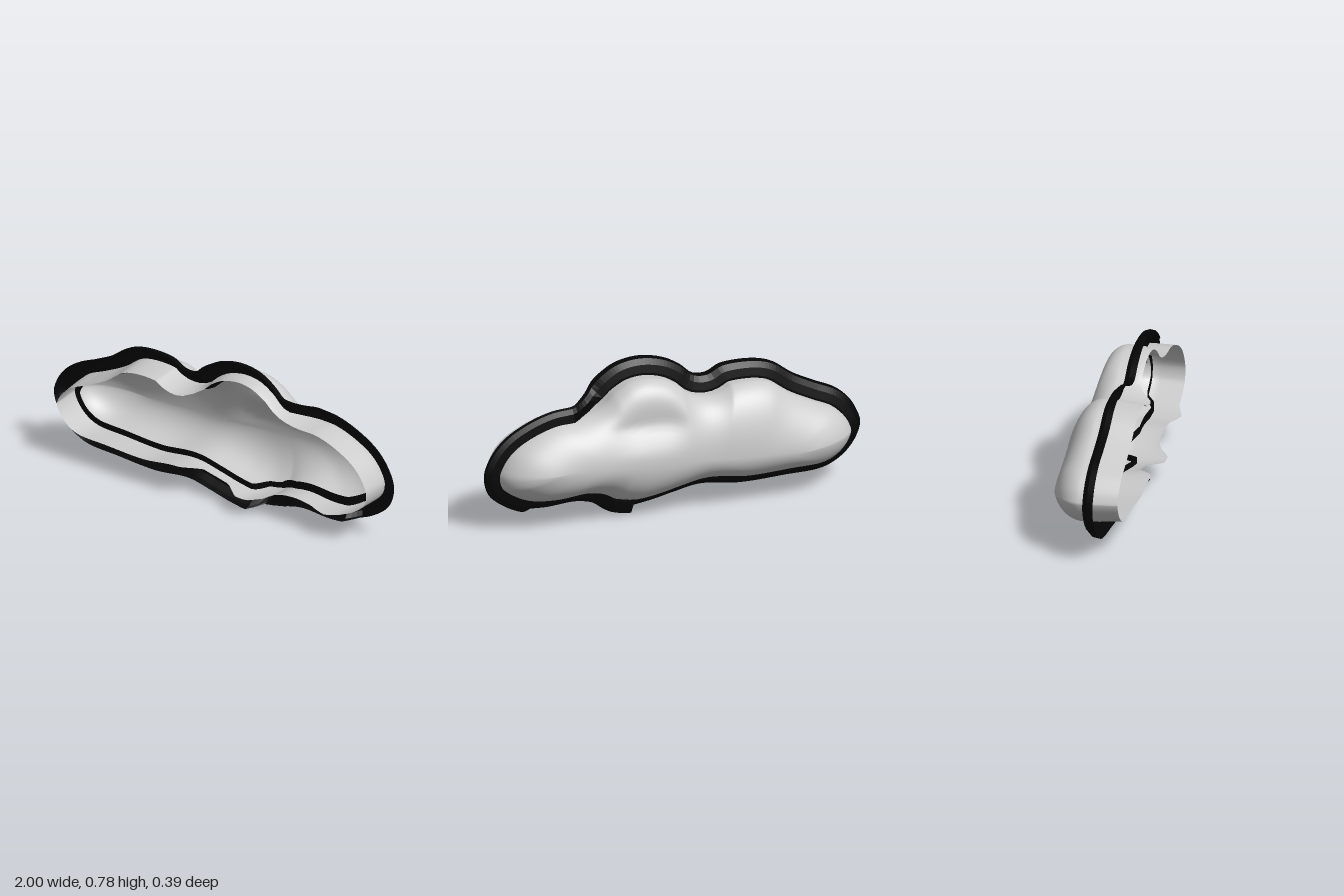
import * as THREE from 'three';

const N = 220;

// Outer outline of the flange, clockwise seen from the front
const outline = [
  [-1, .3], [-.98, .37], [-.94, .43], [-.87, .49], [-.76, .54], [-.65, .595], [-.55, .665], [-.48, .69],
  [-.38, .7], [-.27, .69], [-.2, .655], [-.13, .66], [-.07, .71], [.02, .76], [.15, .785], [.27, .765],
  [.36, .71], [.43, .645], [.52, .615], [.65, .6], [.77, .56], [.89, .49], [.96, .41], [1, .31],
  [.98, .21], [.92, .15], [.8, .09], [.67, .075], [.5, .085], [.41, .065], [.35, .03], [.23, .005],
  [.1, .02], [-.03, .05], [-.16, .075], [-.37, .055], [-.6, .065], [-.8, .08], [-.9, .13], [-.97, .21],
].map(([x, y]) => new THREE.Vector3(x, y, 0));

// Flange height along x for its upper and lower runs: [x, z]
const upperRun = [[-1, .09], [.4, .115], [.53, -.015], [1, -.015]];
const lowerRun = [[-1, .09], [.19, .112], [.23, 0], [.33, 0], [.42, .06], [.74, .06], [.8, -.015], [1, -.015]];

const ramp = (x, a, b) => THREE.MathUtils.clamp((x - a) / (b - a), 0, 1);
const bump = (x, c, w) => Math.max(0, 1 - Math.abs(x - c) / w);
const bell = (v) => Math.exp(-v * v);

function flangeZ(x, top) {
  const run = top ? upperRun : lowerRun;
  return run.slice(1).reduce((z, [xb, zb], i) => z + (zb - run[i][1]) * ramp(x, run[i][0], xb), run[0][1]);
}

// Front edge of the wall, stepped and scalloped along the bottom
function lipZ(x, top) {
  const z = THREE.MathUtils.lerp(.195, .118, ramp(x, -.15, -.06));
  return top ? z : z + .065 * Math.min(1, 1.5 * bump(x, .22, .13)) + .035 * bump(x, .7, .1);
}

// Depth of the trough behind the flange; s is 1 at the wall and 0 on the spine
function depth(x, y, s) {
  const d = .185 + .02 * x - .015 * bell((x + .1) / .15);
  const base = d * Math.sqrt(1 - s * s);
  if (y < .33) return base;
  // shallow dome of the upper lobe, blended into the main trough
  const trough = d * Math.sqrt(Math.max(0, 1 - ((y - .3) / .21) ** 2));
  const dome = .108 * Math.sin(Math.min(Math.PI / 2, 1.8 * Math.acos(s)));
  const joined = (trough ** 5 + dome ** 5) ** (1 / 5);
  return THREE.MathUtils.lerp(base, joined, bell(((x - .17) / .2) ** 2) * ramp(y, .33, .4));
}

// Surface through closed rings of points
function loft(rings) {
  const pos = rings.flat().flatMap((p) => [p.x, p.y, p.z]);
  const index = [];
  for (let j = 0; j < rings.length - 1; j++) {
    for (let i = 0; i < N; i++) {
      const k = (i + 1) % N, r0 = j * N, r1 = r0 + N;
      index.push(r0 + i, r0 + k, r1 + i, r0 + k, r1 + k, r1 + i);
    }
  }
  const g = new THREE.BufferGeometry();
  g.setAttribute('position', new THREE.Float32BufferAttribute(pos, 3));
  g.setIndex(index);
  g.computeVertexNormals();
  return g;
}

export function createModel() {
  const group = new THREE.Group();
  const curve = new THREE.CatmullRomCurve3(outline, true, 'centripetal');
  const pts = curve.getSpacedPoints(N).slice(0, N);
  const inward = pts.map((p, i) => {
    const t = pts[(i + 1) % N].clone().sub(pts[(i + N - 1) % N]).normalize();
    return new THREE.Vector3(t.y, -t.x, 0);
  });
  const ring = (insetOf, zOf) => pts.map((p, i) => {
    const q = p.clone().addScaledVector(inward[i], insetOf(p.x));
    q.z = zOf(q.x, p.y > .31);
    return q;
  });

  // Basin: nearly straight wall, then a rounded trough closing on a long spine
  const wallInset = (left) => (x) => THREE.MathUtils.lerp(left, .066, ramp(x, .3, .6));
  const rings = [
    ring(wallInset(.095), lipZ),
    ring(wallInset(.083), () => .08),
    ring(wallInset(.079), () => 0),
  ];
  const edge = rings[2];
  const steps = 20;
  for (let n = 1; n <= steps; n++) {
    const s = n === steps ? 0 : Math.cos((n / steps) * Math.PI / 2);
    rings.push(edge.map((e) => {
      const q = new THREE.Vector3(e.x * .7, .3 + .03 * e.x, 0).lerp(e, s);
      q.z = -depth(q.x, q.y, s);
      return q;
    }));
  }
  const basinGeometry = loft(rings);
  // smooth shading across the spine
  const normals = basinGeometry.attributes.normal;
  for (let i = normals.count - N; i < normals.count; i++) normals.setXYZ(i, 0, 0, -1);
  const basin = new THREE.Mesh(basinGeometry,
    new THREE.MeshStandardMaterial({ color: 0xcccccc, side: THREE.DoubleSide }));
  basin.name = 'basin';

  // Flange: thin dark plate with a rim curled forward, its inner edge showing inside the wall
  const curl = (x, top) => .03 + .035 * ramp(flangeZ(x, top), -.015, .09);
  const section = [[0, 0], [.005, .5], [.03, .9], [.07, 1], [.112, 1]];
  const flange = new THREE.Mesh(
    loft(section.map(([inset, d]) => ring(() => inset, (x, top) => flangeZ(x, top) - d * curl(x, top)))),
    new THREE.MeshStandardMaterial({ color: 0x050505, flatShading: true, side: THREE.DoubleSide }));
  flange.name = 'flange';

  group.add(basin, flange);
  return group;
}
